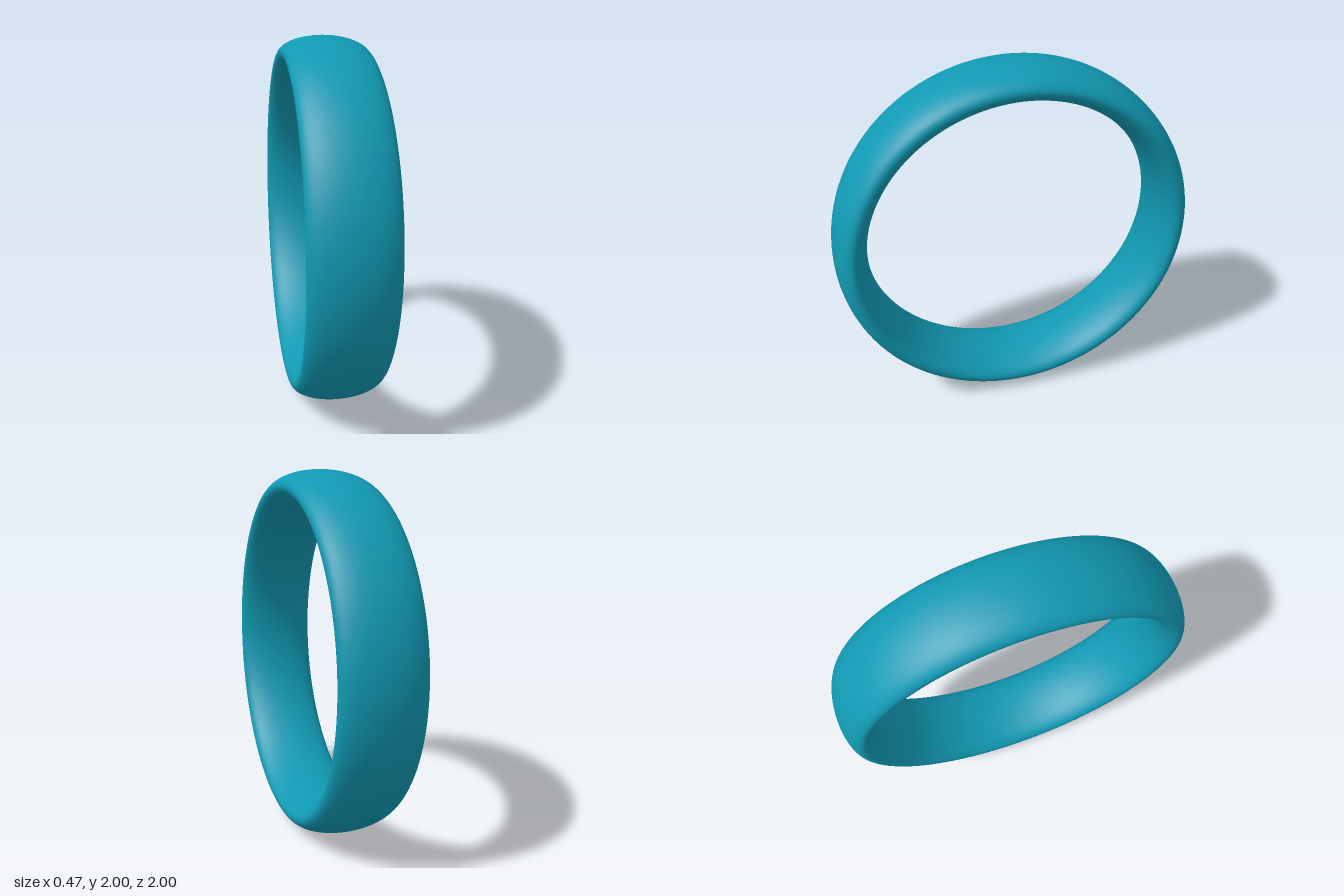
import * as THREE from 'three';

const OUTER = 1.0;        // outer radius
const INNER = 0.82;       // inner radius
const HALF_WIDTH = 0.226; // half the band's width
const TILT = -0.009;      // slight turn about the vertical

export function createModel() {
  const group = new THREE.Group();
  group.name = 'ring';

  // Band: a torus stretched along its axis, giving an oval cross-section
  const tube = (OUTER - INNER) / 2;
  const geometry = new THREE.TorusGeometry(INNER + tube, tube, 48, 160);
  geometry.scale(1, 1, HALF_WIDTH / tube);
  geometry.rotateY(Math.PI / 2 + TILT);
  geometry.translate(0, OUTER, 0);

  const band = new THREE.Mesh(geometry, new THREE.MeshStandardMaterial({ color: 0x1199b3 }));
  band.name = 'band';
  group.add(band);
  return group;
}
